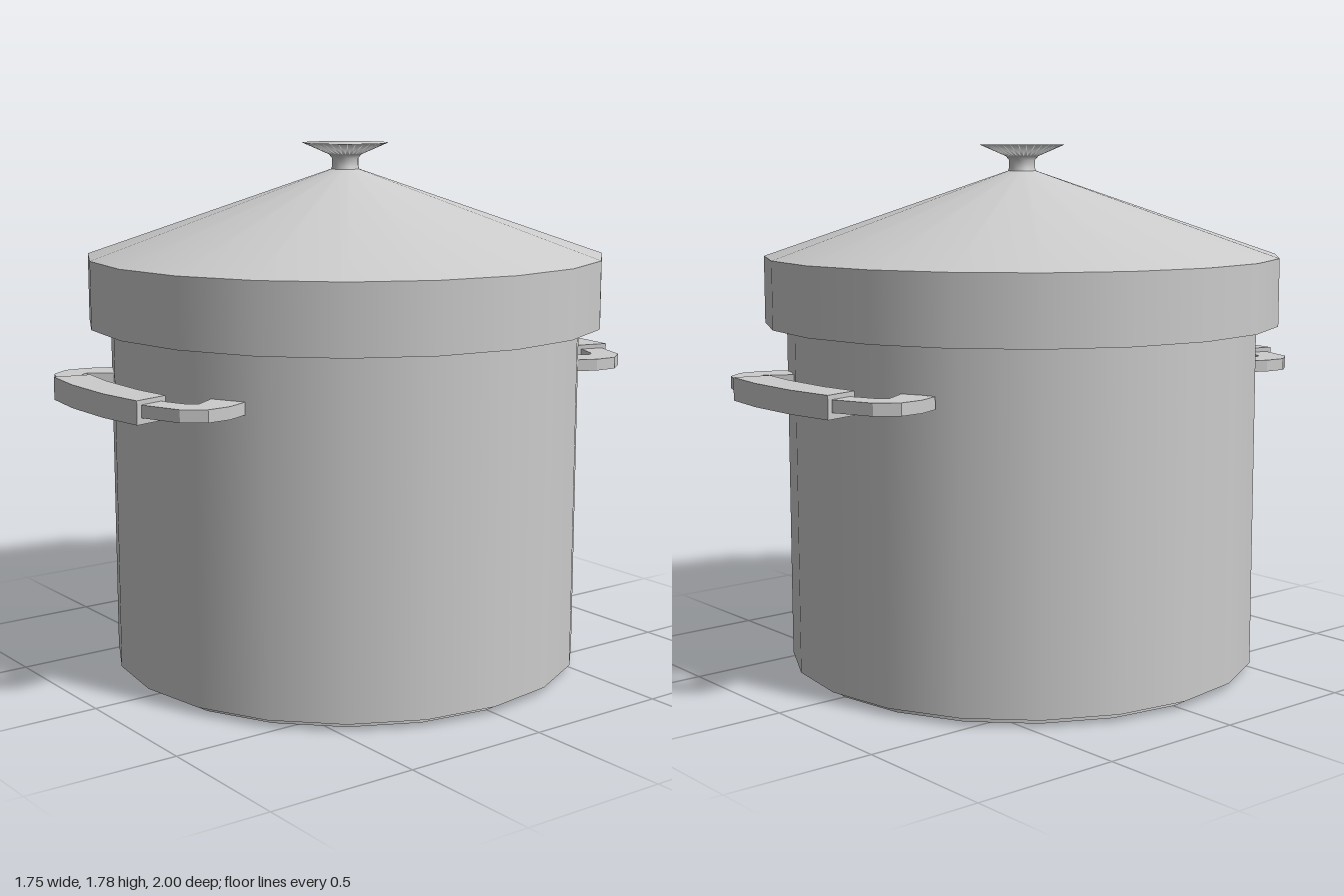
import * as THREE from 'three';

const SIDES = 20;

export function createModel() {
  const model = new THREE.Group();
  model.name = 'stockPot';
  const material = new THREE.MeshStandardMaterial({ color: 0xcccccc });

  const add = (parent, name, geometry) => {
    const mesh = new THREE.Mesh(geometry, material);
    mesh.name = name;
    parent.add(mesh);
    return mesh;
  };

  // Upright drum or cone between two heights
  const drum = (parent, name, rTop, rBottom, y0, y1, open = false) => {
    const geometry = new THREE.CylinderGeometry(rTop, rBottom, y1 - y0, SIDES, 1, open);
    add(parent, name, geometry).position.set(0, (y0 + y1) / 2, 0.005);
  };

  // Pot
  drum(model, 'base', 0.755, 0.755, 0, 0.03);
  drum(model, 'body', 0.8, 0.8, 0.025, 1.19);

  // Lid: rim band, sloping top and flared knob
  const lid = new THREE.Group();
  lid.name = 'lid';
  model.add(lid);
  drum(lid, 'lidRim', 0.873, 0.873, 1.18, 1.405);
  drum(lid, 'lidTop', 0.045, 0.873, 1.405, 1.69, true);
  const knobProfile = [
    [0.05, 1.68], [0.044, 1.7], [0.044, 1.725], [0.055, 1.738],
    [0.145, 1.777], [0, 1.777],
  ].map(([r, y]) => new THREE.Vector2(r, y));
  add(lid, 'knob', new THREE.LatheGeometry(knobProfile, 32)).position.z = 0.005;

  // Flat plan outline, mirrored in x, as a slab between two heights.
  // The outer edge runs from the middle to the end, the inner edge back again.
  const slab = (outer, inner, y0, y1) => {
    const half = [...outer, ...inner];
    const other = half.map(([x, z]) => [-x, z]);
    const n = outer.length;
    const outline = [
      ...half, ...other.slice(n).reverse(), ...other.slice(0, n).reverse(),
    ].map(([x, z]) => new THREE.Vector2(x, z));
    const geometry = new THREE.ExtrudeGeometry(new THREE.Shape(outline), {
      depth: y1 - y0, bevelEnabled: false,
    });
    return geometry.rotateX(Math.PI / 2).translate(0, y1, 0);
  };

  const barGeometry = slab(
    [[0.1, 0.98], [0.27, 0.958], [0.4, 0.908], [0.45, 0.84], [0.445, 0.76], [0.41, 0.685]],
    [[0.29, 0.72], [0.335, 0.785], [0.352, 0.812], [0.332, 0.842], [0.25, 0.877], [0.1, 0.897]],
    0.985, 1.025,
  );
  const gripGeometry = slab(
    [[0.1, 1], [0.268, 0.977]],
    [[0.238, 0.86], [0.1, 0.878]],
    0.965, 1.04,
  );

  // Front and back handles
  for (const [name, angle] of [['frontHandle', 0], ['backHandle', Math.PI]]) {
    const handle = new THREE.Group();
    handle.name = name;
    handle.rotation.y = angle;
    add(handle, 'handleBar', barGeometry);
    add(handle, 'handleGrip', gripGeometry);
    model.add(handle);
  }

  return model;
}
